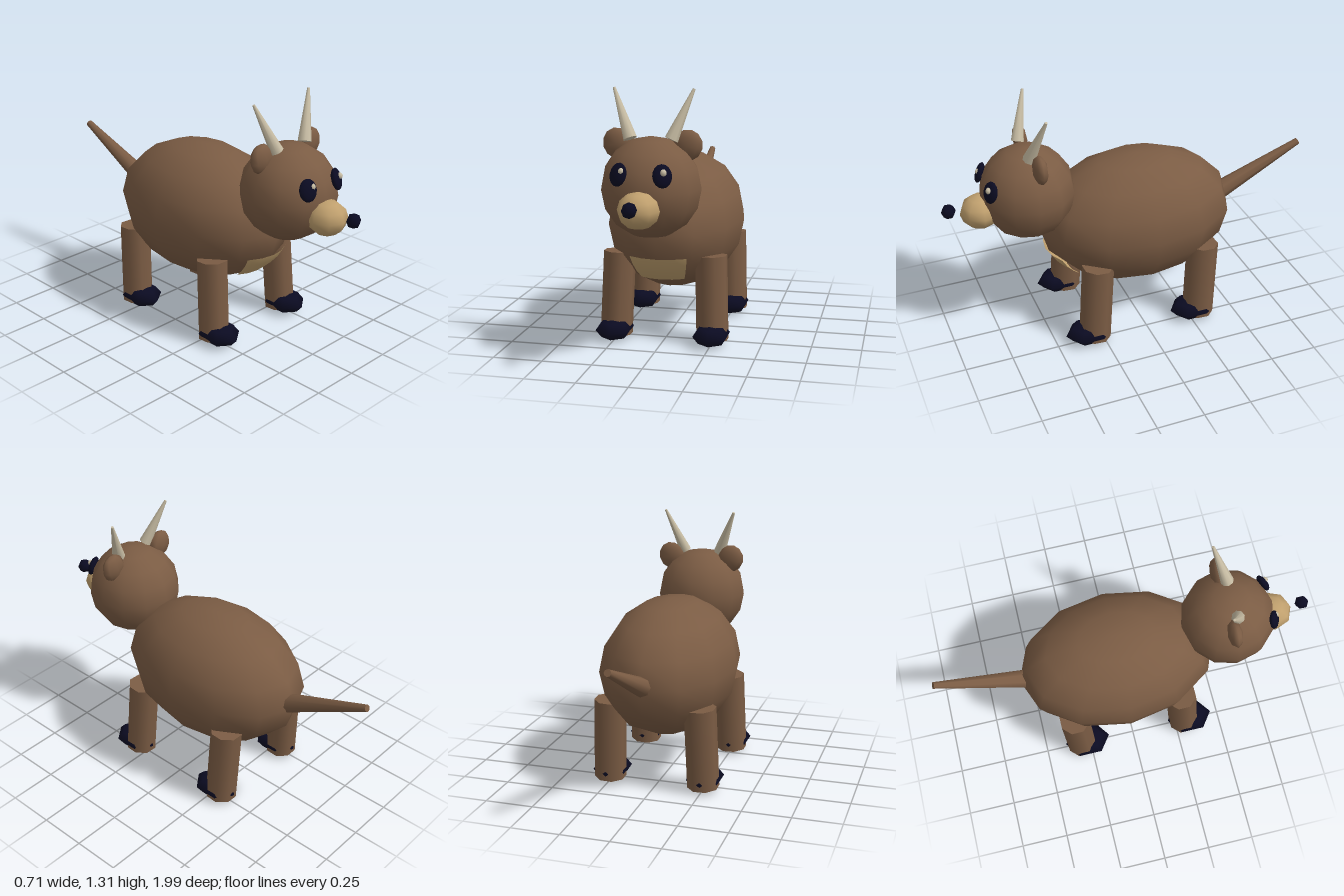
import * as THREE from 'three';

const mat = (name, color) => {
  const m = new THREE.MeshStandardMaterial({ color });
  m.name = name;
  return m;
};

export function createModel() {
  const brown = mat('brown hide', 0x7b5c44);
  const tan = mat('tan fur', 0xc0a06e);
  tan.side = THREE.DoubleSide;
  const bone = mat('bone', 0xc8bda4);
  const navy = mat('dark navy', 0x0b0b22);
  const root = new THREE.Group();
  root.name = 'hornedAnimal';

  const add = (name, geo, material) => {
    const mesh = new THREE.Mesh(geo, material);
    mesh.name = name;
    root.add(mesh);
    return mesh;
  };

  // Low-sided ellipsoid at a centre with three radii
  const ball = (name, material, c, r, w, h, turn = 0) => {
    const mesh = add(name, new THREE.SphereGeometry(1, w, h).rotateY(turn), material);
    mesh.position.set(...c);
    mesh.scale.set(...r);
    return mesh;
  };

  // Tapered limb between two points
  const limb = (name, material, from, to, r0, r1, sides, turn = 0) => {
    const a = new THREE.Vector3(...from), b = new THREE.Vector3(...to);
    const d = b.clone().sub(a);
    const geo = new THREE.CylinderGeometry(r1, r0, d.length(), sides).rotateY(turn);
    const mesh = add(name, geo, material);
    mesh.position.copy(a).add(b).multiplyScalar(0.5);
    mesh.quaternion.setFromUnitVectors(new THREE.Vector3(0, 1, 0), d.normalize());
    return mesh;
  };

  // Trunk, head and face
  ball('body', brown, [0, 0.585, -0.033], [0.355, 0.355, 0.528], 12, 8);
  ball('head', brown, [0, 0.845, 0.555], [0.245, 0.245, 0.245], 12, 8);
  ball('muzzle', tan, [0, 0.778, 0.8], [0.102, 0.088, 0.105], 8, 6);
  ball('nose', navy, [0, 0.81, 0.96], [0.037, 0.038, 0.037], 6, 4, Math.PI / 6);

  // Chest patch hugging the front underside of the body
  const patch = add('chestPatch', new THREE.SphereGeometry(
    1, 4, 3, Math.PI / 2 - 0.44, 0.88, 1.9, 0.43), tan);
  patch.position.set(0, 0.585, -0.033);
  patch.scale.set(0.36, 0.36, 0.537);

  for (const s of [1, -1]) {
    const side = s > 0 ? 'left' : 'right';

    // Eyes face outward along the head surface
    const eye = ball(side + 'Eye', navy, [s * 0.104, 0.935, 0.765], [0.046, 0.056, 0.022], 12, 8);
    eye.rotation.set(-0.3, s * 0.4, 0, 'YXZ');
    const glintX = s > 0 ? 0.112 : -0.086;
    ball(side + 'EyeGlint', bone, [glintX, 0.952, 0.776], [0.016, 0.017, 0.016], 8, 6);

    // Flat round ears and splayed horns
    const ear = ball(side + 'Ear', brown, [s * 0.172, 1.047, 0.53], [0.072, 0.076, 0.037], 8, 6);
    ear.rotation.z = -s * 0.25;
    limb(side + 'Horn', bone, [s * 0.1, 1.075, 0.562], [s * 0.195, 1.31, 0.495], 0.034, 0.007, 8);

    // Slightly leaning legs with hooves set forward
    for (const [end, top, bottom, hoof] of [
      ['Front', 0.267, 0.296, 0.331], ['Back', -0.322, -0.3, -0.266]]) {
      limb(side + end + 'Leg', brown, [s * 0.252, 0.025, bottom], [s * 0.238, 0.455, top],
        0.083, 0.083, 8, Math.PI / 8);
      ball(side + end + 'Hoof', navy, [s * 0.252, 0.06, hoof], [0.098, 0.056, 0.125], 6, 4, Math.PI / 6);
    }
  }

  // Tail
  limb('tail', brown, [0, 0.603, -0.53], [0, 0.812, -0.99], 0.05, 0.018, 8);

  return root;
}
